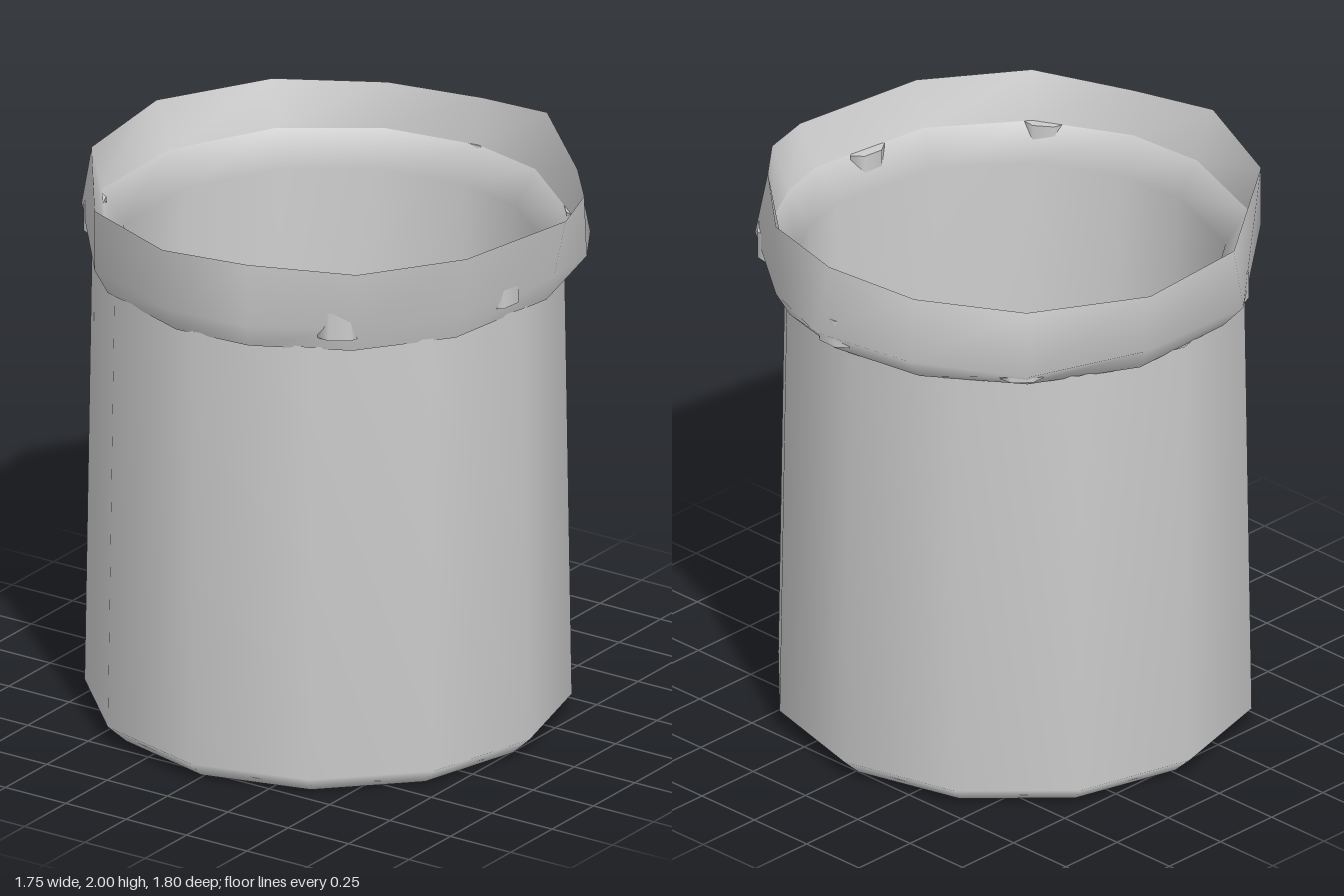
import * as THREE from 'three';

const material = new THREE.MeshStandardMaterial({ color: 0xcccccc, side: THREE.DoubleSide });

// Irregular lip of the liner: x, z, lower scale, upper scale, top height
const lip = [
  [0.05, -0.90, 1.00, 0.93, 1.97], [0.35, -0.81, 0.98, 0.98, 2.00],
  [0.71, -0.52, 1.00, 0.95, 1.97], [0.84, -0.34, 0.98, 0.97, 1.96],
  [0.875, -0.13, 0.95, 1.00, 1.95], [0.80, 0.36, 0.96, 1.00, 1.96],
  [0.57, 0.69, 0.95, 1.00, 1.96], [0.22, 0.86, 0.98, 0.96, 1.96],
  [-0.09, 0.90, 0.965, 1.00, 1.97], [-0.50, 0.74, 0.98, 0.98, 1.96],
  [-0.87, 0.25, 1.00, 0.96, 1.95], [-0.875, -0.21, 0.98, 1.00, 1.96],
  [-0.70, -0.63, 1.00, 0.94, 1.96], [-0.33, -0.83, 1.00, 0.95, 1.96],
];

// Skin a list of closed rings that all have the same number of points
function loft(rings) {
  const n = rings[0].length;
  const index = [];
  for (let r = 0; r < rings.length - 1; r++) {
    for (let i = 0; i < n; i++) {
      const a = r * n + i, b = r * n + (i + 1) % n;
      index.push(a, a + n, b, b, a + n, b + n);
    }
  }
  const geometry = new THREE.BufferGeometry().setFromPoints(rings.flat());
  geometry.setIndex(index);
  geometry.computeVertexNormals();
  return geometry;
}

// Ring at the lip's own angles with a constant radius
function roundRing(radius, y) {
  return lip.map(([x, z]) => {
    const s = radius / Math.hypot(x, z);
    return new THREE.Vector3(x * s - 0.005, y, z * s + 0.005);
  });
}

export function createModel() {
  const group = new THREE.Group();
  const add = (name, geometry) => {
    const mesh = new THREE.Mesh(geometry, material);
    mesh.name = name;
    group.add(mesh);
    return mesh;
  };

  // Slightly tapered outer wall, rolled softly under at the foot
  const profile = [[0.735, 0.1], [0.765, 0.005], [0.835, 0.07], [0.81, 1.66]];
  const wall = new THREE.LatheGeometry(profile.map(p => new THREE.Vector2(...p)), 12);
  wall.translate(-0.01, 0, 0.014);
  add('outerWall', wall);

  // Floor, raised a little above the foot
  const floor = new THREE.CircleGeometry(0.735, 12);
  floor.rotateX(-Math.PI / 2);
  floor.translate(-0.01, 0.1, 0.014);
  add('floor', floor);

  // Folded liner: flared outside, steep lip, funnel over the rigid rim, inner wall
  const lower = lip.map(([x, z, s]) => new THREE.Vector3(x * s, 1.74, z * s));
  const upper = lip.map(([x, z, , s, y]) => new THREE.Vector3(x * s, y, z * s));
  add('linerFlare', loft([roundRing(0.82, 1.65), lower, upper]));
  add('linerLip', loft([upper, roundRing(0.825, 1.8)]));
  add('linerInside', loft([roundRing(0.825, 1.8), roundRing(0.745, 1.68), roundRing(0.73, 0.1)]));

  // Corners of the rigid rim showing through the liner: angle, radius
  const corners = [[54, 0.82], [7, 0.78], [-41, 0.83], [-89, 0.845], [-137, 0.87], [157, 0.83]];
  for (const [degrees, radius] of corners) {
    const angle = THREE.MathUtils.degToRad(degrees);
    const corner = add('rimCorner', new THREE.CylinderGeometry(0.05, 0.05, 0.1, 6));
    corner.position.set(Math.cos(angle) * radius, 1.75, Math.sin(angle) * radius);
    corner.rotation.y = -angle;
    corner.scale.set(0.75, 1, 1.5);
  }
  return group;
}
